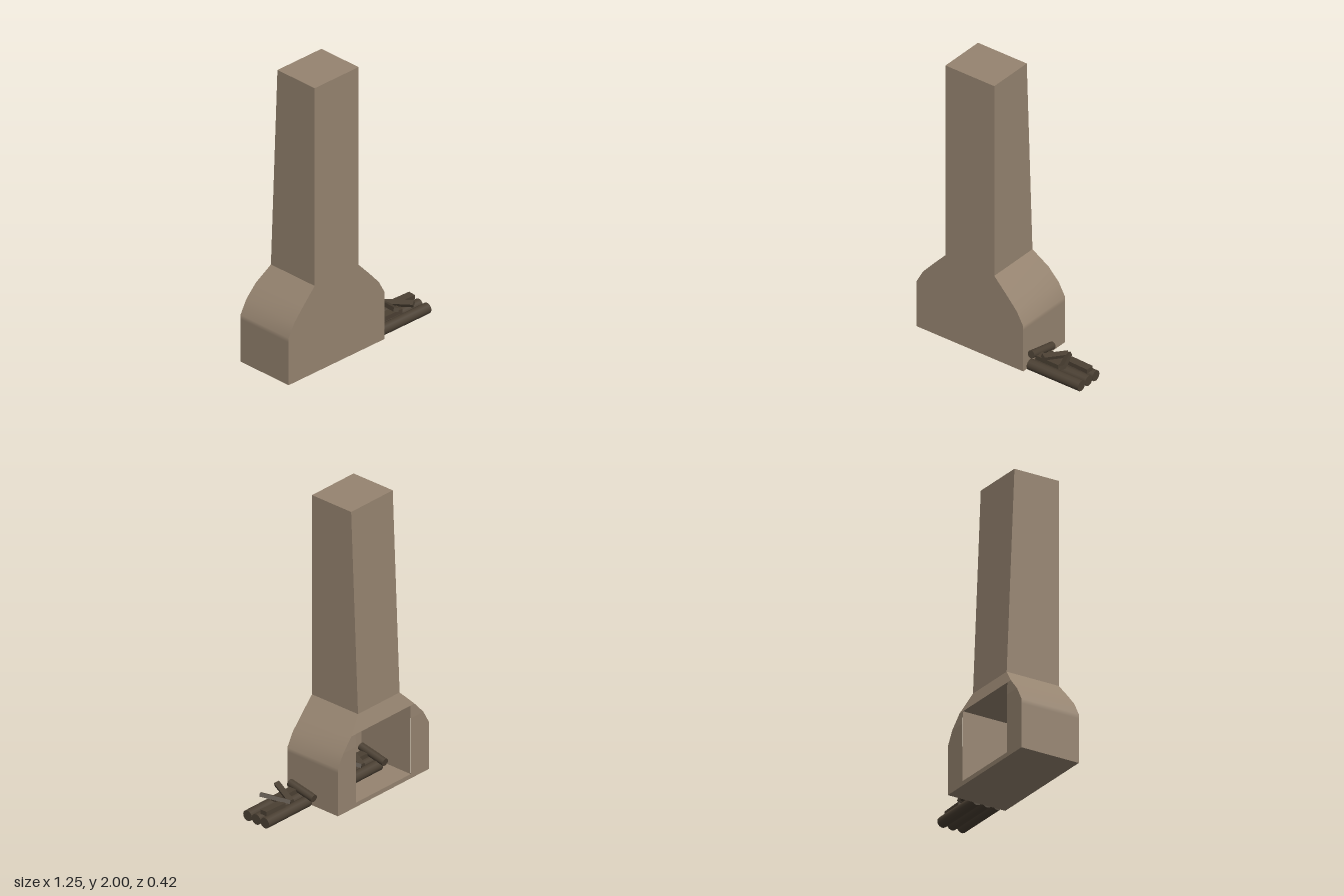
import * as THREE from 'three';
import { mergeVertices } from 'three/addons/utils/BufferGeometryUtils.js';

const clay = new THREE.MeshStandardMaterial({ color: 0x968470 });
clay.name = 'clay plaster';
const wood = new THREE.MeshStandardMaterial({ color: 0x4b4033 });
wood.name = 'dark firewood';

// Mesh from four-cornered faces, corners counter-clockwise from outside
function quadMesh(name, quads, smooth = false) {
  const pos = [];
  for (const [a, b, c, d] of quads) pos.push(...a, ...b, ...c, ...a, ...c, ...d);
  let geo = new THREE.BufferGeometry();
  geo.setAttribute('position', new THREE.Float32BufferAttribute(pos, 3));
  if (smooth) geo = mergeVertices(geo);
  geo.computeVertexNormals();
  const mesh = new THREE.Mesh(geo, clay);
  mesh.name = name;
  return mesh;
}

const FRONT = 0.21;
// Cross-sections: [height, half width, back z]
const RINGS = [
  [0, 0.415, -0.21], [0.03, 0.415, -0.21], [0.3, 0.415, -0.21], [0.33, 0.415, -0.21],
  [0.42, 0.365, -0.21], [0.505, 0.289, -0.206], [0.61, 0.19, -0.172], [2, 0.19, -0.115],
];
const OPEN = { w: 0.25, bottom: 0.03, top: 0.505, inner: 0.2 };

function fireplace() {
  const g = new THREE.Group();
  g.name = 'fireplace';
  const hood = [], stack = [], front = [], back = [];
  for (let i = 0; i < RINGS.length - 1; i++) {
    const [y0, w0, z0] = RINGS[i], [y1, w1, z1] = RINGS[i + 1];
    const sides = y1 > 1 ? stack : hood;
    sides.push([[w0, y0, FRONT], [w0, y0, z0], [w1, y1, z1], [w1, y1, FRONT]]);
    sides.push([[-w0, y0, z0], [-w0, y0, FRONT], [-w1, y1, FRONT], [-w1, y1, z1]]);
    front.push([[-w0, y0, FRONT], [w0, y0, FRONT], [w1, y1, FRONT], [-w1, y1, FRONT]]);
    // Back wall leaves the hearth opening free
    if (y0 >= OPEN.bottom && y1 <= OPEN.top) {
      const o = OPEN.w;
      back.push([[w0, y0, z0], [o, y0, z0], [o, y1, z1], [w1, y1, z1]]);
      back.push([[-o, y0, z0], [-w0, y0, z0], [-w1, y1, z1], [-o, y1, z1]]);
    } else {
      back.push([[w0, y0, z0], [-w0, y0, z0], [-w1, y1, z1], [w1, y1, z1]]);
    }
  }
  const [, bw, bz] = RINGS[0], [ty, tw, tz] = RINGS[RINGS.length - 1];
  const top = [[-tw, ty, FRONT], [tw, ty, FRONT], [tw, ty, tz], [-tw, ty, tz]];
  const base = [[-bw, 0, bz], [bw, 0, bz], [bw, 0, FRONT], [-bw, 0, FRONT]];

  // Firebox lining, facing inwards
  const { w: o, bottom: b, top: t, inner: n } = OPEN;
  const lip = -0.21, lipTop = -0.206;
  const lining = [
    [[-o, b, n], [o, b, n], [o, b, lip], [-o, b, lip]],
    [[-o, t, lipTop], [o, t, lipTop], [o, t, n], [-o, t, n]],
    [[o, b, n], [-o, b, n], [-o, t, n], [o, t, n]],
    [[o, b, lip], [o, b, n], [o, t, n], [o, t, lipTop]],
    [[-o, b, n], [-o, b, lip], [-o, t, lipTop], [-o, t, n]],
  ];
  g.add(
    quadMesh('hoodSides', hood, true), quadMesh('chimneySides', stack),
    quadMesh('frontWall', front), quadMesh('backWall', back),
    quadMesh('chimneyTop', [top]), quadMesh('base', [base]), quadMesh('firebox', lining),
  );
  g.position.x = -0.21;
  return g;
}

// Piece of wood between two points, round or split
function stick(name, from, to, geoFor) {
  const a = new THREE.Vector3(...from), b = new THREE.Vector3(...to);
  const dir = b.clone().sub(a);
  const mesh = new THREE.Mesh(geoFor(dir.length()), wood);
  mesh.name = name;
  mesh.position.copy(a).add(b).multiplyScalar(0.5);
  mesh.quaternion.setFromUnitVectors(new THREE.Vector3(0, 1, 0), dir.normalize());
  return mesh;
}
const round = (r) => (len) => new THREE.CylinderGeometry(r, r, len, 14);
const split = (w, d) => (len) => new THREE.BoxGeometry(w, len, d);

function woodPile(name) {
  const g = new THREE.Group();
  g.name = name;
  // Three round logs on the ground
  for (const [z, x] of [[0.162, 0.222], [0.09, 0.225], [0.019, 0.23]]) {
    g.add(stick('log', [x, 0.036, z], [0.622, 0.036, z], round(0.036)));
  }
  // Split planks lying on the logs
  g.add(stick('plank', [0.25, 0.086, 0.115], [0.425, 0.086, 0.117], split(0.03, 0.055)));
  g.add(stick('plank', [0.435, 0.088, 0.043], [0.6, 0.088, 0.05], split(0.03, 0.053)));
  // Round log across the end
  g.add(stick('crossLog', [0.232, 0.112, 0.165], [0.237, 0.075, -0.04], round(0.026)));
  // Two leaning sticks in a V
  g.add(stick('leaningStick', [0.335, 0.142, 0.18], [0.395, 0.1, 0.005], split(0.036, 0.026)));
  g.add(stick('leaningStick', [0.487, 0.125, 0.18], [0.4, 0.1, 0.005], split(0.036, 0.026)));
  return g;
}

export function createModel() {
  const model = new THREE.Group();
  model.name = 'fireplaceWithFirewood';
  const hearthPile = woodPile('hearthWood');
  hearthPile.position.set(-0.6, OPEN.bottom, -0.045);
  model.add(fireplace(), woodPile('storedWood'), hearthPile);
  return model;
}
